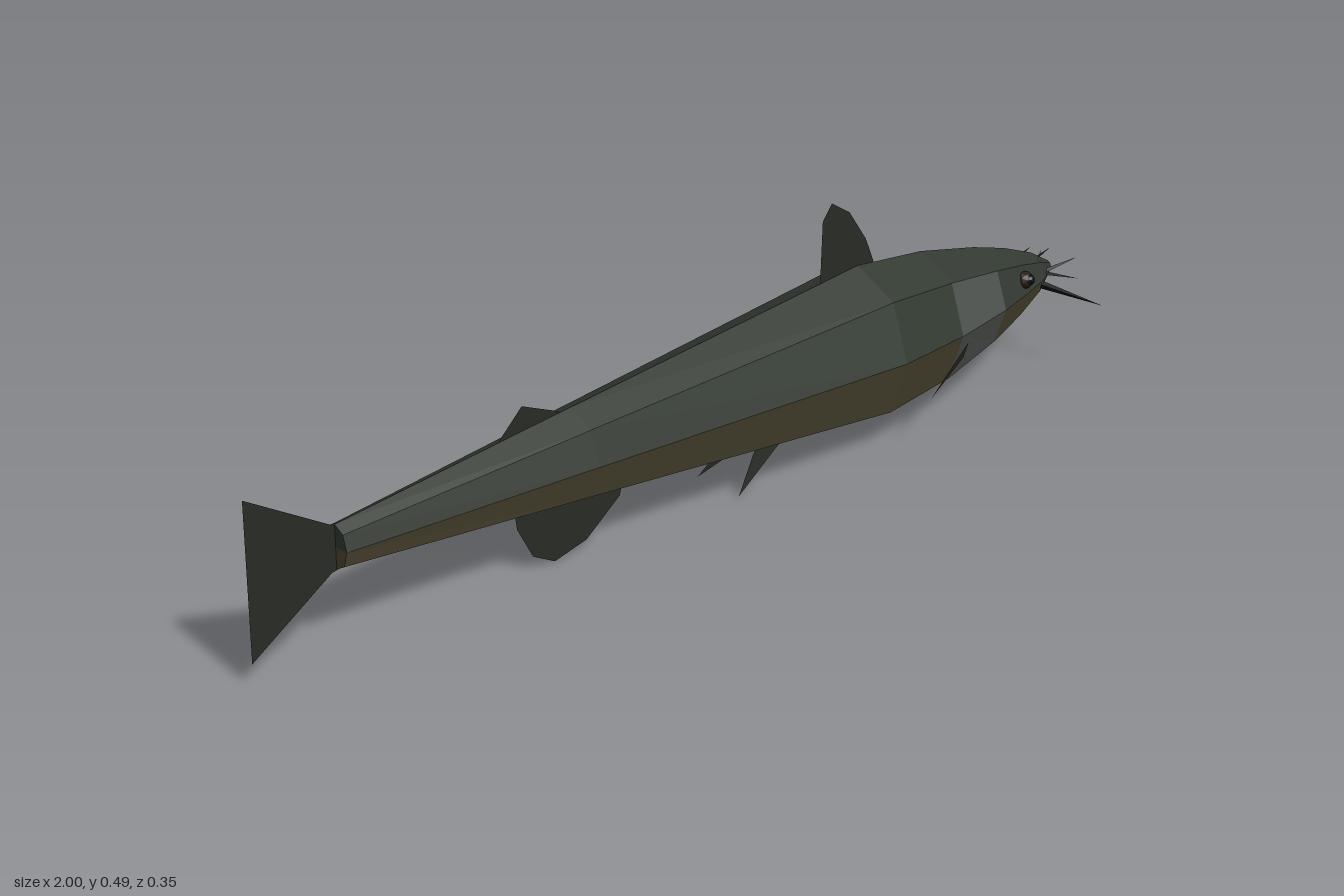
import * as THREE from 'three';

const mat = (color, side = THREE.FrontSide) =>
  new THREE.MeshStandardMaterial({ color, side, flatShading: true });

// Body sections along x: [x, centre y, half height, half width]
const SECTIONS = [
  [-0.82, 0.2, 0, 0], [-0.82, 0.2, 0.042, 0.03], [-0.3, 0.198, 0.091, 0.073],
  [0.41, 0.194, 0.158, 0.132], [0.58, 0.194, 0.139, 0.117], [0.73, 0.195, 0.104, 0.09],
  [0.82, 0.196, 0.076, 0.066], [0.9, 0.197, 0.043, 0.04], [0.95, 0.198, 0.012, 0.012],
  [0.955, 0.198, 0, 0],
];
const GILL = 4; // the span between sections 4 and 5

// Corner k of the eight-sided ring i; k = 0 is +z, k = 2 is the top
function corner(i, k) {
  const [x, y, h, w] = SECTIONS[i];
  const a = (k * Math.PI) / 4;
  return [x, y + h * Math.sin(a), w * Math.cos(a)];
}

function triangles(points) {
  const g = new THREE.BufferGeometry();
  g.setAttribute('position', new THREE.Float32BufferAttribute(points.flat(), 3));
  g.computeVertexNormals();
  return g;
}

// Body panels for which test(span, side) is true
function panels(test) {
  const pts = [];
  for (let i = 0; i < SECTIONS.length - 1; i++) {
    for (let k = 0; k < 8; k++) {
      if (!test(i, k)) continue;
      const a = corner(i, k), b = corner(i + 1, k), c = corner(i + 1, k + 1), d = corner(i, k + 1);
      if (SECTIONS[i][2] > 0) pts.push(a, b, d);
      if (SECTIONS[i + 1][2] > 0) pts.push(b, c, d);
    }
  }
  return triangles(pts);
}

export function createModel() {
  const group = new THREE.Group();
  const add = (name, geometry, material) => {
    const mesh = new THREE.Mesh(geometry, material);
    mesh.name = name;
    group.add(mesh);
    return mesh;
  };

  const finMat = mat(0x282b26, THREE.DoubleSide);
  const finOuterMat = mat(0x282b26);
  const barbelMat = mat(0x161616);
  const eyeMat = mat(0x2a1f16);
  const pupilMat = mat(0x080808);

  // Body: dark back, olive belly, pale gill covers
  const isGill = (i, k) => i === GILL && [0, 3, 4, 7].includes(k);
  add('back', panels((i, k) => k < 4 && !isGill(i, k)), mat(0x333a32));
  add('belly', panels((i, k) => k >= 4 && !isGill(i, k)), mat(0x4c4631));
  add('gillCovers', panels(isGill), mat(0x4e524e));

  // Flat fins on the centre line
  const flatFins = {
    tailFin: [[-0.8, 0.24], [-0.83, 0.245], [-1, 0.347], [-1, 0.048], [-0.83, 0.155], [-0.8, 0.16]],
    dorsalFin: [[0.31, 0.33], [0.315, 0.465], [0.338, 0.495], [0.385, 0.465], [0.43, 0.4], [0.46, 0.33]],
    adiposeFin: [[-0.47, 0.26], [-0.465, 0.277], [-0.413, 0.326], [-0.33, 0.29], [-0.32, 0.27]],
    analFin: [[-0.435, 0.13], [-0.43, 0.095], [-0.395, 0.03], [-0.345, 0.003],
      [-0.27, 0.02], [-0.19, 0.08], [-0.18, 0.12]],
  };
  for (const [name, pts] of Object.entries(flatFins)) {
    const shape = new THREE.Shape(pts.map(([x, y]) => new THREE.Vector2(x, y)));
    add(name, new THREE.ShapeGeometry(shape), finMat);
  }

  // Paired parts
  const up = new THREE.Vector3(0, 1, 0);
  for (const s of [1, -1]) {
    const side = s > 0 ? 'right' : 'left';
    const m = (p) => [p[0], p[1], s * p[2]];
    const fin = (a, b, c) => triangles(s > 0 ? [m(a), m(b), m(c)] : [m(a), m(c), m(b)]);

    add(side + 'PectoralFin',
      fin([0.6, 0.175, 0.113], [0.43, 0.13, 0.175], [0.6, 0.138, 0.1]), finOuterMat);
    add(side + 'PelvicFin',
      fin([0.19, 0.072, 0.025], [0.11, 0.08, 0.035], [0.052, 0.015, 0.055]), finMat);

    add(side + 'Eye', new THREE.IcosahedronGeometry(0.018, 1), eyeMat)
      .position.set(0.82, 0.222, s * 0.056);
    add(side + 'Pupil', new THREE.IcosahedronGeometry(0.012, 1), pupilMat)
      .position.set(0.822, 0.224, s * 0.065);

    // Whiskers as thin four-sided cones from root to tip
    const barbels = [
      [[0.895, 0.184, 0.03], [0.945, 0.16, 0.15], 0.008],
      [[0.9, 0.205, 0.02], [0.975, 0.182, 0.062], 0.006],
      [[0.915, 0.202, 0.022], [1, 0.213, 0.035], 0.006],
      [[0.88, 0.21, 0.035], [0.915, 0.246, 0.012], 0.006],
    ];
    barbels.forEach(([root, tip, r], n) => {
      const a = new THREE.Vector3(...m(root)), b = new THREE.Vector3(...m(tip));
      const mesh = add(side + 'Barbel' + (n + 1), new THREE.ConeGeometry(r, a.distanceTo(b), 4), barbelMat);
      mesh.position.copy(a).add(b).multiplyScalar(0.5);
      mesh.quaternion.setFromUnitVectors(up, b.sub(a).normalize());
    });
  }
  return group;
}
